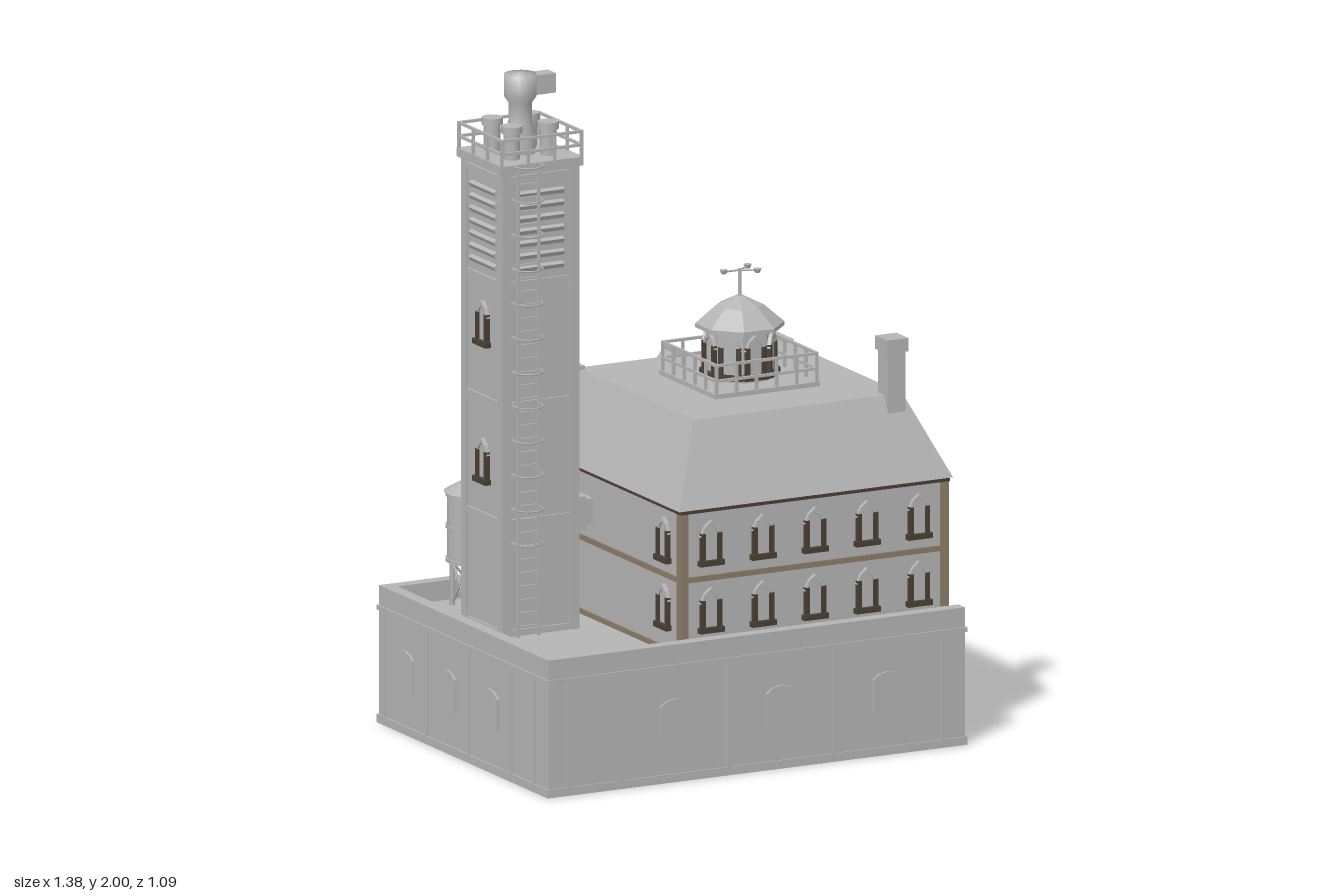
import * as THREE from 'three';

const mat = (name, color, side = THREE.FrontSide) => {
  const m = new THREE.MeshStandardMaterial({ color, side });
  m.name = name;
  return m;
};

export function createModel() {
  const stone = mat('stone grey', 0xb4b4b4, THREE.DoubleSide);
  const trim = mat('brown trim', 0x8c7c68);
  const dark = mat('dark brown', 0x4a4033);
  const orange = mat('door orange', 0xb8622f);
  const root = new THREE.Group();
  root.name = 'towerHouse';

  const group = (name, parent, x = 0, y = 0, z = 0, ry = 0) => {
    const g = new THREE.Group();
    g.name = name;
    g.position.set(x, y, z);
    g.rotation.y = ry;
    parent.add(g);
    return g;
  };
  const add = (name, geo, m, parent, x = 0, y = 0, z = 0) => {
    const mesh = new THREE.Mesh(geo, m);
    mesh.name = name;
    mesh.position.set(x, y, z);
    parent.add(mesh);
    return mesh;
  };
  // box given by centre x/z and bottom y
  const box = (name, w, h, d, x, y, z, m, parent) =>
    add(name, new THREE.BoxGeometry(w, h, d), m, parent, x, y + h / 2, z);
  const cyl = (name, r0, r1, h, x, y, z, m, parent, n = 16) =>
    add(name, new THREE.CylinderGeometry(r1, r0, h, n), m, parent, x, y + h / 2, z);
  const rod = (name, a, b, r, m, parent) => {
    const p = new THREE.Vector3(...a), d = new THREE.Vector3(...b).sub(p);
    const mesh = add(name, new THREE.CylinderGeometry(r, r, d.length(), 6), m, parent);
    mesh.position.copy(p).addScaledVector(d, 0.5);
    mesh.quaternion.setFromUnitVectors(new THREE.Vector3(0, 1, 0), d.normalize());
    return mesh;
  };
  const extrude = (pts, depth) => new THREE.ExtrudeGeometry(
    new THREE.Shape(pts.map(p => new THREE.Vector2(...p))), { depth, bevelEnabled: false });

  // pointed-arch window, standing on y = 0 and facing +z
  const arch = (w, h) => [[-w, 0], [w, 0], [w, h * 0.68], [w * 0.6, h * 0.87], [0, h], [-w * 0.6, h * 0.87], [-w, h * 0.68]];
  const paneGeo = extrude(arch(0.024, 0.11), 0.006);
  const hoodGeo = extrude([[-0.036, 0.075], [-0.024, 0.075], [-0.014, 0.095], [0, 0.107], [0.014, 0.095], [0.024, 0.075],
    [0.036, 0.075], [0.022, 0.104], [0, 0.122], [-0.022, 0.104]], 0.012);
  const pointedWindow = (parent, x, y, z, ry) => {
    const g = group('pointedWindow', parent, x, y, z, ry);
    add('pane', paneGeo, stone, g);
    add('hood', hoodGeo, stone, g);
    for (const s of [-1, 1]) box('jamb', 0.014, 0.085, 0.014, s * 0.027, 0, 0.006, dark, g);
    box('sill', 0.08, 0.016, 0.022, 0, -0.012, 0.008, dark, g);
    return g;
  };
  // square railing around a centre
  const railing = (parent, half, h, posts, r) => {
    for (let k = 0; k < 4; k++) {
      const side = group('railingSide', parent, 0, 0, 0, k * Math.PI / 2);
      for (const f of [0.5, 1]) box('rail', half * 2, r * 2, r * 2, 0, h * f - r * 2, half, stone, side);
      for (let i = 0; i < posts; i++)
        box('post', r * 2, h, r * 2, -half + (2 * half * i) / posts, 0, half, stone, side);
    }
  };

  // basement block with bands and parapet
  const base = group('base', root);
  box('baseBlock', 1.37, 0.35, 1.04, 0, 0, 0.015, stone, base);
  box('plinth', 1.38, 0.025, 1.05, 0, 0, 0.015, stone, base);
  box('ledge', 1.38, 0.014, 1.05, 0, 0.337, 0.015, stone, base);
  box('frontParapet', 1.37, 0.06, 0.04, 0, 0.35, 0.515, stone, base);
  box('leftParapet', 0.04, 0.06, 1.04, -0.665, 0.35, 0.015, stone, base);
  box('backParapet', 0.485, 0.06, 0.04, -0.4425, 0.35, -0.485, stone, base);

  // blind windows and pilasters of the base
  const blindGeo = (w, h) => extrude([[-w, 0], [w, 0], [w, h * 0.82], [w * 0.6, h * 0.95], [0, h], [-w * 0.6, h * 0.95], [-w, h * 0.82]], 0.007);
  const tall = blindGeo(0.05, 0.12), low = blindGeo(0.04, 0.1), small = blindGeo(0.038, 0.065);
  const blind = (geo, x, y, z, ry) => { add('blindWindow', geo, stone, base, x, y, z).rotation.y = ry; };
  for (const x of [-0.27, 0.08, 0.43]) blind(tall, x, 0.13, 0.535, 0);
  for (const x of [-0.62, -0.445, -0.095, 0.255, 0.61]) box('pilaster', 0.014, 0.32, 0.008, x, 0.02, 0.536, stone, base);
  for (const s of [-1, 1]) {
    for (const z of [0.18, -0.08, -0.34]) blind(tall, s * 0.685, 0.13, z, s * Math.PI / 2);
    for (const z of [0.45, 0.31, 0.05, -0.21, -0.47]) box('pilaster', 0.008, 0.32, 0.014, s * 0.686, 0.02, z, stone, base);
  }
  for (const x of [0.53, 0.35, 0.19, -0.35, -0.52]) {
    blind(low, x, 0.09, -0.505, Math.PI);
    blind(small, x, 0.24, -0.505, Math.PI);
  }

  // entrance on the back with two lamps
  const door = group('entrance', root, -0.0875, 0, -0.505, Math.PI);
  for (const s of [-1, 1]) {
    box('doorPost', 0.028, 0.16, 0.025, s * 0.0735, 0, 0.0125, orange, door);
    box('doorInnerFrame', 0.014, 0.135, 0.014, s * 0.05, 0, 0.008, dark, door);
    rod('lampArm', [s * 0.107, 0.175, 0], [s * 0.107, 0.175, 0.03], 0.004, dark, door);
    add('lamp', new THREE.SphereGeometry(0.012, 10, 8), orange, door, s * 0.107, 0.19, 0.03);
  }
  box('doorLintel', 0.185, 0.03, 0.028, 0, 0.155, 0.014, orange, door);
  box('doorHead', 0.12, 0.025, 0.014, 0, 0.13, 0.008, dark, door);
  box('doorLeaf', 0.09, 0.13, 0.006, 0, 0, 0.003, stone, door);

  // house walls and trim
  const house = group('house', root, 0.22, 0.35, 0.02);
  box('walls', 0.87, 0.44, 0.91, 0, 0, 0, stone, house);
  box('baseTrim', 0.882, 0.016, 0.922, 0, 0, 0, trim, house);
  box('floorBand', 0.882, 0.016, 0.922, 0, 0.222, 0, trim, house);
  box('eaveTrim', 0.886, 0.014, 0.926, 0, 0.428, 0, dark, house);
  for (const sx of [-1, 1]) for (const sz of [-1, 1])
    box('cornerTrim', 0.026, 0.43, 0.026, sx * 0.428, 0, sz * 0.448, trim, house);
  for (const y of [0.08, 0.28]) for (let i = -2; i <= 2; i++) {
    pointedWindow(house, i * 0.171, y, 0.455, 0);
    pointedWindow(house, i * 0.171, y, -0.455, Math.PI);
    pointedWindow(house, 0.435, y, i * 0.177, Math.PI / 2);
    if (Math.abs(i) === 2) pointedWindow(house, -0.435, y, i * 0.177, -Math.PI / 2);
  }

  // mansard roof: a box narrowed at the top
  const roofGeo = new THREE.BoxGeometry(0.9, 0.24, 0.94);
  const rp = roofGeo.attributes.position;
  for (let i = 0; i < rp.count; i++)
    if (rp.getY(i) > 0) rp.setXYZ(i, Math.sign(rp.getX(i)) * 0.343, 0.12, Math.sign(rp.getZ(i)) * 0.358);
  roofGeo.computeVertexNormals();
  add('mansardRoof', roofGeo, stone, house, 0, 0.56, 0);
  box('chimney', 0.058, 0.25, 0.062, 0.313, 0.6, 0.35, stone, house);
  box('chimneyCap', 0.07, 0.04, 0.074, 0.313, 0.81, 0.35, stone, house);

  // dormers along the back
  const gable = extrude([[-0.036, 0], [0.036, 0], [0.036, 0.115], [0, 0.16], [-0.036, 0.115]], 0.11);
  const dormerRoof = extrude([[-0.062, 0.1], [0, 0.175], [0.062, 0.1], [0.062, 0.115], [0, 0.19], [-0.062, 0.115]], 0.115);
  for (const x of [-0.343, 0, 0.343]) {
    const d = group('dormer', house, x, 0.495, -0.34, Math.PI);
    add('dormerBody', gable, stone, d);
    add('dormerRoof', dormerRoof, stone, d, 0, 0, 0.005);
    box('dormerRidge', 0.022, 0.012, 0.13, 0, 0.184, 0.055, stone, d);
    pointedWindow(d, 0, 0.012, 0.11, 0).scale.set(0.85, 0.95, 0.9);
  }

  // octagonal cupola with railing and wind gauge
  const cupola = group('cupola', root, 0.22, 1.03, 0.02);
  box('deck', 0.345, 0.014, 0.345, 0, 0, 0, stone, cupola);
  const cupolaRail = group('cupolaRailing', cupola, 0, 0.01, 0);
  railing(cupolaRail, 0.165, 0.092, 5, 0.004);
  const oct = (r0, r1, h) => {
    const g = new THREE.CylinderGeometry(r1, r0, h, 8, 1).toNonIndexed();
    g.rotateY(Math.PI / 8);
    g.computeVertexNormals();
    return g;
  };
  add('cupolaBody', oct(0.1, 0.1, 0.17), stone, cupola, 0, 0.085, 0);
  add('cupolaEave', oct(0.13, 0.13, 0.012), stone, cupola, 0, 0.168, 0);
  add('cupolaRoofLower', oct(0.13, 0.07, 0.052), stone, cupola, 0, 0.2, 0);
  add('cupolaRoofUpper', oct(0.07, 0.012, 0.028), stone, cupola, 0, 0.24, 0);
  for (let k = 0; k < 8; k++) {
    const a = k * Math.PI / 4;
    pointedWindow(cupola, Math.sin(a) * 0.092, 0.035, Math.cos(a) * 0.092, a);
  }
  cyl('gaugePole', 0.006, 0.005, 0.09, 0, 0.245, 0, stone, cupola, 8);
  for (const a of [0.95, 2.19, 4.71]) {
    const x = Math.sin(a) * 0.052, z = Math.cos(a) * 0.052;
    rod('gaugeArm', [0, 0.33, 0], [x, 0.33, z], 0.003, stone, cupola);
    cyl('gaugeCup', 0.007, 0.012, 0.012, x, 0.324, z, stone, cupola, 10);
  }

  // tall tower
  const tower = group('tower', root, -0.435, 0.35, -0.105);
  box('shaft', 0.236, 1.39, 0.236, 0, 0, 0, stone, tower);
  for (const sx of [-1, 1]) for (const sz of [-1, 1])
    box('cornerPost', 0.03, 1.39, 0.03, sx * 0.112, 0, sz * 0.112, stone, tower);
  for (const y of [0, 0.33, 0.68, 1.04, 1.355]) box('band', 0.25, 0.02, 0.25, 0, y, 0, stone, tower);
  box('platform', 0.272, 0.026, 0.272, 0, 1.385, 0, stone, tower);
  for (let k = 0; k < 4; k++) {
    const face = group('louvres', tower, 0, 0, 0, k * Math.PI / 2);
    for (let i = 0; i < 7; i++)
      box('slat', 0.155, 0.014, 0.022, 0, 1.09 + i * 0.037, 0.117, stone, face).rotation.x = 0.5;
  }
  for (const y of [0.37, 0.78]) {
    pointedWindow(tower, 0, y, -0.118, Math.PI);
    pointedWindow(tower, -0.118, y + 0.08, 0, -Math.PI / 2);
  }

  // tower top: railing, four stacks and a hooded vent
  const topDeck = group('towerTop', tower, 0, 1.41, 0);
  railing(topDeck, 0.131, 0.08, 3, 0.004);
  for (const sx of [-1, 1]) for (const sz of [-1, 1]) {
    cyl('stack', 0.024, 0.024, 0.08, sx * 0.06, 0, sz * 0.06, stone, topDeck);
    cyl('stackCap', 0.031, 0.031, 0.022, sx * 0.06, 0.078, sz * 0.06, stone, topDeck);
  }
  const ventProfile = [[0.045, 0], [0.045, 0.06], [0.034, 0.1], [0.034, 0.15], [0.048, 0.17], [0.048, 0.235], [0, 0.24]];
  const ventGeo = new THREE.LatheGeometry(ventProfile.map(p => new THREE.Vector2(...p)), 20);
  add('vent', ventGeo, stone, topDeck);
  box('ventHood', 0.075, 0.058, 0.05, 0.067, 0.172, 0, stone, topDeck);

  // caged ladder on the front
  const ladder = group('ladder', tower, -0.05, 0, 0.125);
  for (const s of [-1, 1]) box('stile', 0.008, 1.39, 0.008, s * 0.034, 0, 0.018, stone, ladder);
  for (let i = 0; i < 34; i++) box('rung', 0.068, 0.005, 0.006, 0, 0.03 + i * 0.04, 0.018, stone, ladder);
  const hoop = new THREE.TorusGeometry(0.043, 0.0028, 5, 14, Math.PI).rotateX(Math.PI / 2);
  for (let y = 0.28; y < 1.41; y += 0.1025) {
    add('hoop', hoop, stone, ladder, 0, y, 0.018);
    for (const s of [-1, 1]) box('bracket', 0.006, 0.006, 0.024, s * 0.043, y - 0.003, 0.008, stone, ladder);
  }

  // duct joining tower and house
  box('duct', 0.1, 0.075, 0.085, -0.265, 0.635, -0.11, stone, root);
  box('ductCollar', 0.042, 0.1, 0.115, -0.268, 0.622, -0.11, stone, root);

  // water tank on legs with its pipe
  const tank = group('waterTank', root, -0.45, 0.35, -0.355);
  cyl('tankBody', 0.082, 0.082, 0.21, 0, 0.14, 0, stone, tank, 20);
  for (const y of [0.14, 0.24, 0.335]) cyl('tankHoop', 0.086, 0.086, 0.01, 0, y, 0, stone, tank, 20);
  cyl('tankRoof', 0.092, 0.003, 0.05, 0, 0.348, 0, stone, tank, 14);
  for (let k = 0; k < 4; k++) {
    const a = k * Math.PI / 2 + Math.PI / 4, b = a + Math.PI / 2;
    const p = (t, y) => [Math.sin(t) * 0.068, y, Math.cos(t) * 0.068];
    rod('leg', p(a, 0), p(a, 0.14), 0.008, stone, tank);
    rod('brace', p(a, 0.01), p(b, 0.13), 0.004, stone, tank);
    rod('brace', p(b, 0.01), p(a, 0.13), 0.004, stone, tank);
  }
  rod('pipe', [0.07, 0.245, 0], [0.24, 0.245, 0], 0.009, stone, tank);
  for (const x of [0.1, 0.2]) rod('pipeCollar', [x, 0.245, 0], [x + 0.014, 0.245, 0], 0.014, stone, tank);
  return root;
}
